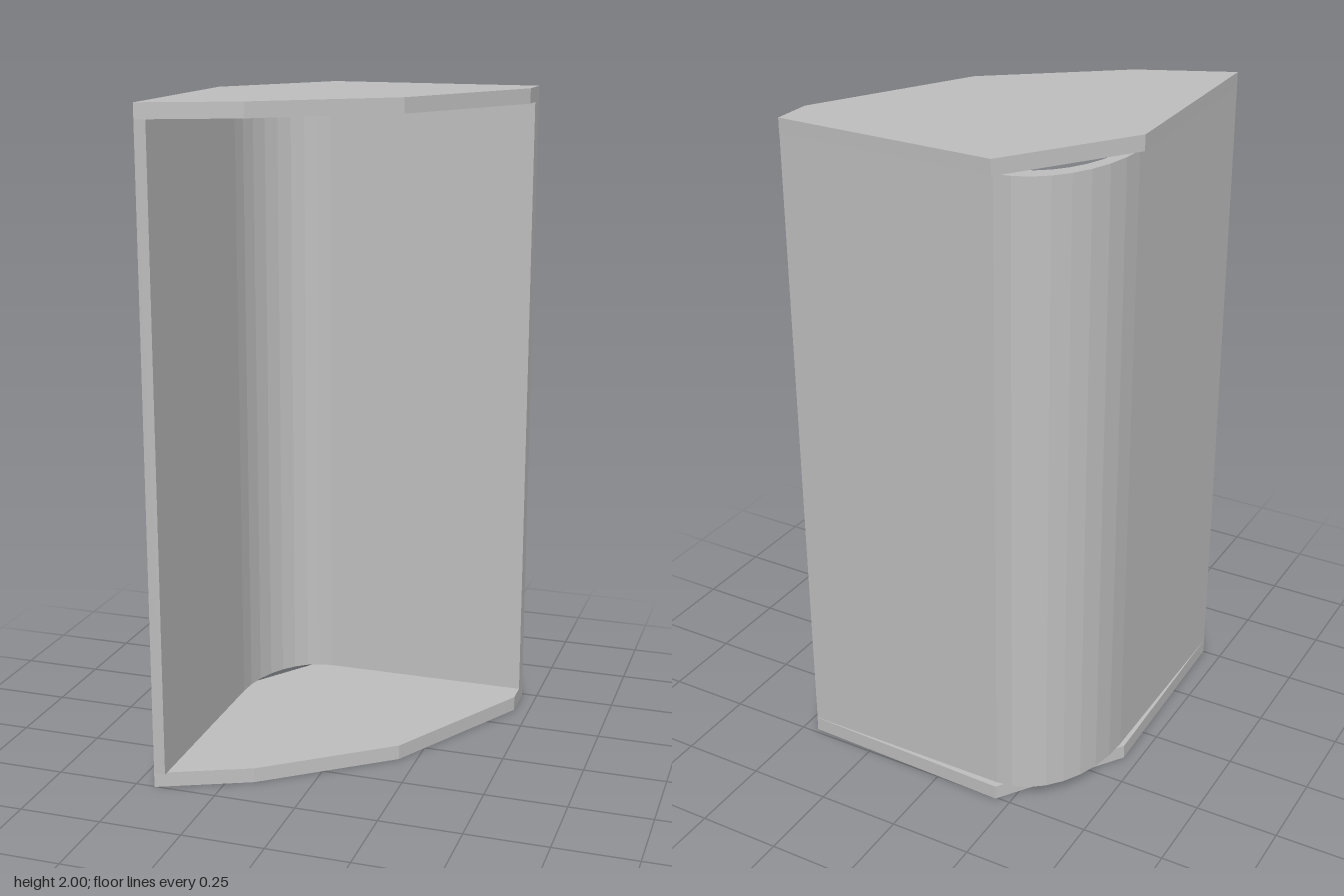
import * as THREE from 'three';

const PLATE = 0.045, HEIGHT = 2;

// Extrude a plan outline of [x, z] points upward from y0 to y1.
function prism(name, points, y0, y1, material) {
  const shape = new THREE.Shape(points.map(([x, z]) => new THREE.Vector2(x, -z)));
  const geometry = new THREE.ExtrudeGeometry(shape, { depth: y1 - y0, bevelEnabled: false });
  geometry.rotateX(-Math.PI / 2);
  geometry.translate(0, y0, 0);
  const mesh = new THREE.Mesh(geometry, material);
  mesh.name = name;
  return mesh;
}

// Quarter-ellipse corner running from the side wall to the back wall.
function corner(rx, rz, segments = 8) {
  const points = [];
  for (let i = 0; i <= segments; i++) {
    const a = (i / segments) * Math.PI / 2;
    points.push([-0.2 - rx * Math.cos(a), -0.14 - rz * Math.sin(a)]);
  }
  return points;
}

export function createModel() {
  const group = new THREE.Group();
  group.name = 'cornerShelf';
  const grey = new THREE.MeshStandardMaterial({ color: 0xc0c0c0, flatShading: true });
  grey.name = 'grey';

  // Bent wall with a faceted rounded corner
  const wall = [
    [-0.44, 0.503], ...corner(0.24, 0.345), [0.453, -0.485],
    [0.453, -0.435], ...corner(0.205, 0.295).reverse(), [-0.405, 0.503],
  ];
  group.add(prism('bentWall', wall, PLATE, HEIGHT - PLATE, grey));

  // Matching angular end plates
  const plate = [
    [-0.205, -0.505], [0.453, -0.486], [0.453, -0.365], [0.197, 0.1],
    [-0.17, 0.383], [-0.44, 0.503], [-0.455, -0.143],
  ];
  group.add(prism('bottomPlate', plate, 0, PLATE, grey));
  group.add(prism('topPlate', plate, HEIGHT - PLATE, HEIGHT, grey));
  return group;
}
